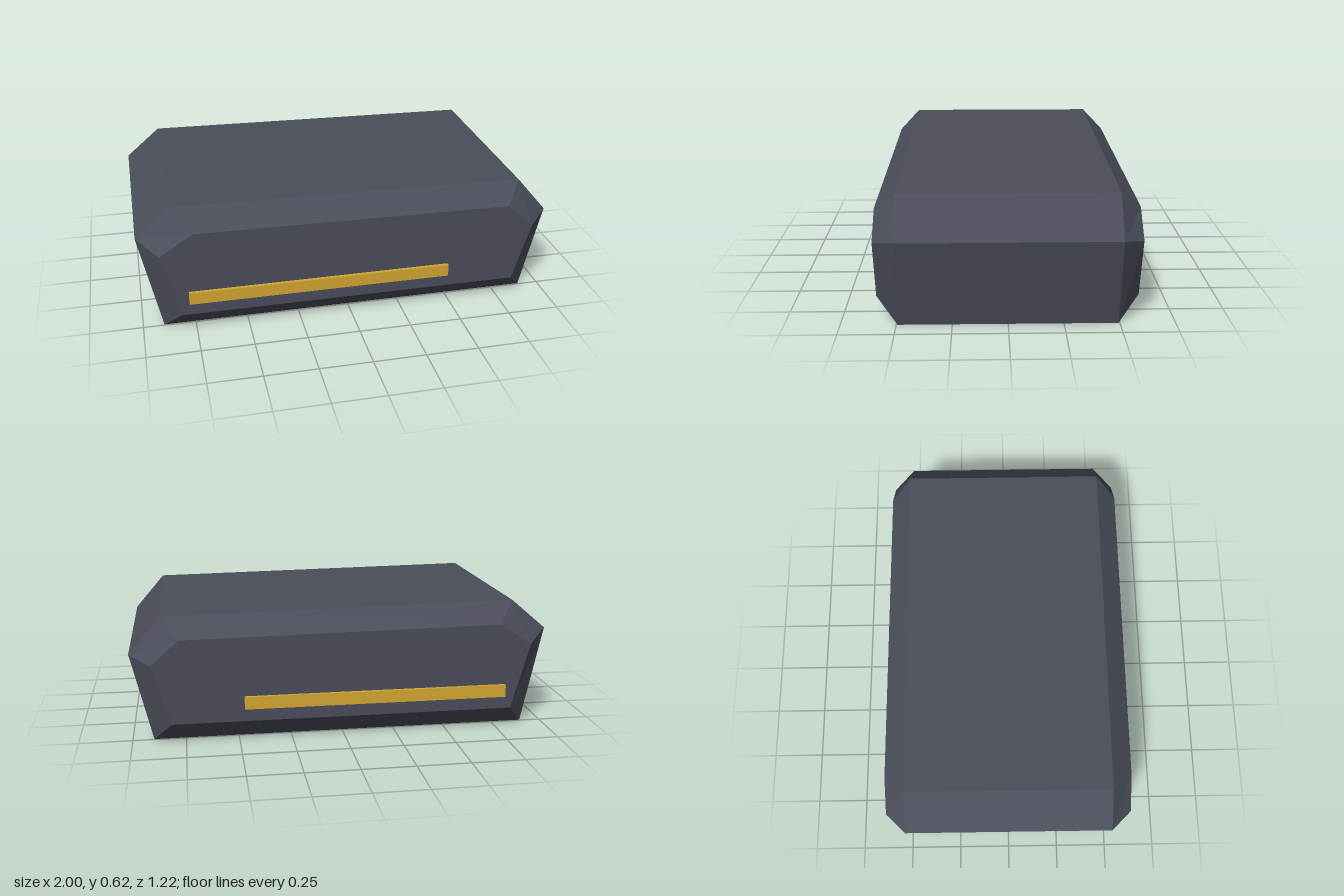
import * as THREE from 'three';

const slate = new THREE.MeshStandardMaterial({ color: 0x4a4e5a });
slate.name = 'slate';
slate.flatShading = true;
const gold = new THREE.MeshStandardMaterial({ color: 0xd4a832 });
gold.name = 'gold';

// Counter-clockwise profiles: full cross-section and the smaller bevelled end face
const OUTER = [[-0.9, 0], [0.9, 0], [1, 0.42], [0.85, 0.594], [-0.83, 0.618], [-1, 0.474]];
const INNER = [[-0.813, 0.103], [0.813, 0.103], [0.9, 0.388], [0.77, 0.504], [-0.744, 0.522], [-0.9, 0.42]];

// Skin a stack of cross-sections along z and cap both ends
function loft(sections) {
  const pos = [];
  const n = sections[0].pts.length;
  const at = (k, i) => [...sections[k].pts[i % n], sections[k].z];
  const tri = (...corners) => corners.forEach((c) => pos.push(...c));
  const last = sections.length - 1;
  for (let k = 0; k < last; k++) {
    for (let i = 0; i < n; i++) {
      tri(at(k, i), at(k, i + 1), at(k + 1, i));
      tri(at(k, i + 1), at(k + 1, i + 1), at(k + 1, i));
    }
  }
  for (let i = 1; i < n - 1; i++) {
    tri(at(last, 0), at(last, i), at(last, i + 1));
    tri(at(0, 0), at(0, i + 1), at(0, i));
  }
  const geo = new THREE.BufferGeometry();
  geo.setAttribute('position', new THREE.Float32BufferAttribute(pos, 3));
  geo.computeVertexNormals();
  return geo;
}

export function createModel() {
  const model = new THREE.Group();
  model.name = 'bevelledPod';

  // Faceted hull with chamfered front and back
  const hull = new THREE.Mesh(loft([
    { pts: INNER, z: -0.594 },
    { pts: OUTER, z: -0.494 },
    { pts: OUTER, z: 0.494 },
    { pts: INNER, z: 0.594 },
  ]), slate);
  hull.name = 'hull';
  model.add(hull);

  // Raised trim strip on the front and back faces
  for (const side of [1, -1]) {
    const strip = new THREE.Mesh(new THREE.BoxGeometry(1.255, 0.06, 0.03), gold);
    strip.name = side > 0 ? 'frontStrip' : 'backStrip';
    strip.position.set(-0.152, 0.195, side * 0.595);
    model.add(strip);
  }
  return model;
}
